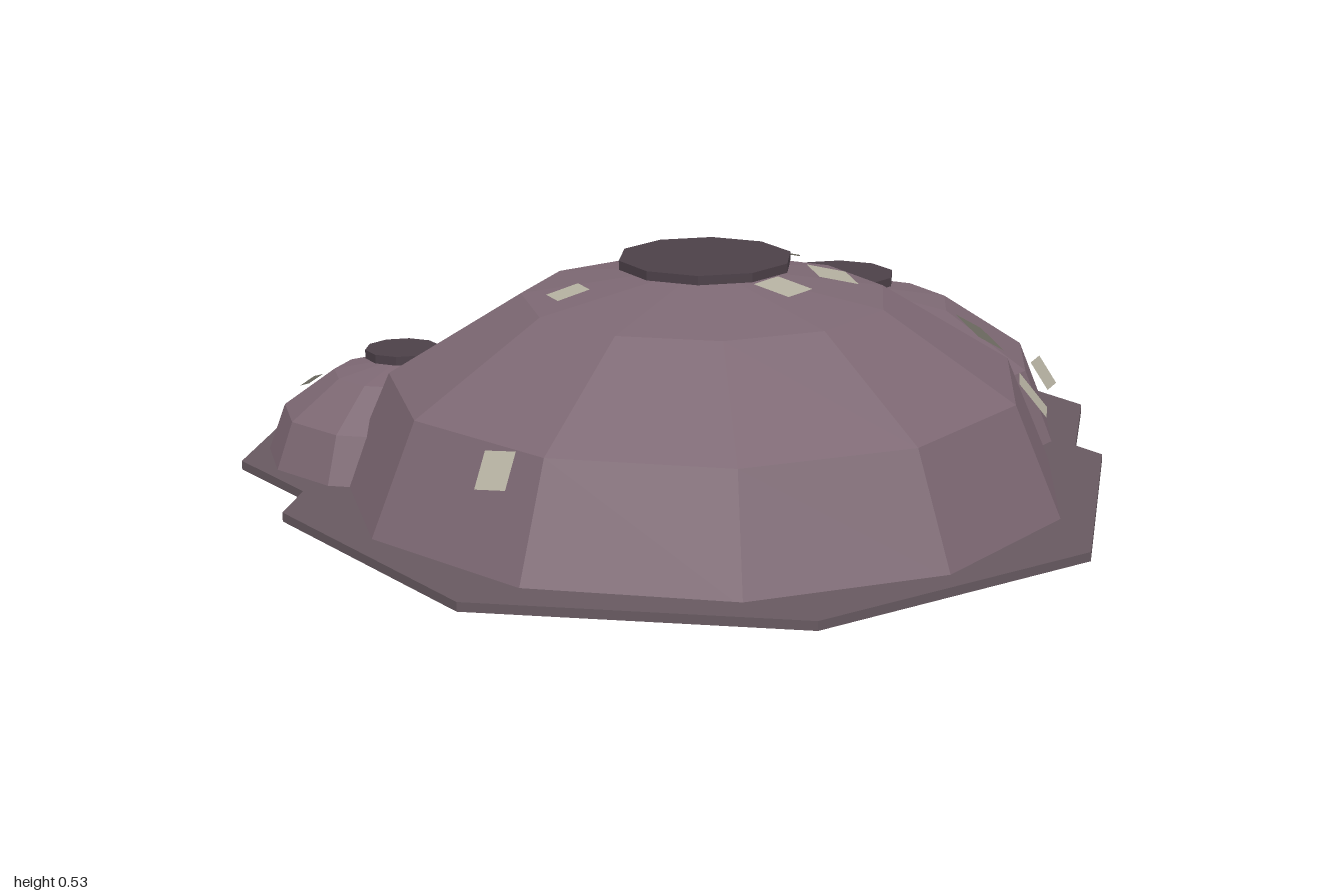
import * as THREE from 'three';

const material = (color) => new THREE.MeshStandardMaterial({ color, flatShading: true, side: THREE.DoubleSide });
const shellMat = material(0x7d6873);
const skirtMat = material(0x675960);
const capMat = material(0x4c4048);
const tileMat = material(0xb4b0a0);

const BASE_Y = 0.01;

// Each tile: x, z, width, height, spin
const mounds = [
  {
    name: 'mainMound', x: -0.025, z: 0.035, radius: 0.8, height: 0.5, skirt: 0.925, cap: 0.19, capY: 0.52,
    tiles: [
      [-0.335, 0.08, 0.07, 0.075, 0.1], [0.245, 0.09, 0.11, 0.09, 0.1], [0.1, 0.22, 0.09, 0.09, 0],
      [0.185, -0.3, 0.09, 0.075, 0.2], [0.22, -0.2, 0.06, 0.07, 0.5], [0.63, -0.05, 0.11, 0.09, 0.1],
      [0.635, 0.3, 0.09, 0.095, 0], [-0.57, 0.515, 0.075, 0.085, 0.15],
    ],
  },
  {
    name: 'middleMound', x: 0.39, z: -0.37, radius: 0.52, height: 0.345, skirt: 0.61, cap: 0.13, capY: 0.368,
    tiles: [[0.235, -0.61, 0.05, 0.055, 0.1], [0.285, -0.535, 0.065, 0.065, 0.1], [0.845, -0.215, 0.07, 0.075, 0]],
  },
  {
    name: 'smallMound', x: -0.63, z: -0.37, radius: 0.315, height: 0.23, skirt: 0.37, cap: 0.085, capY: 0.251,
    tiles: [[-0.82, -0.54, 0.04, 0.045, 0.2], [-0.61, -0.45, 0.065, 0.04, 0]],
  },
];

function polygon(path, radius, sides) {
  const points = [];
  for (let i = 0; i < sides; i++) {
    const a = (i / sides) * Math.PI * 2;
    points.push(new THREE.Vector2(radius * Math.cos(a), radius * Math.sin(a)));
  }
  return path.setFromPoints(points);
}

function add(parent, name, geometry, mat) {
  const mesh = new THREE.Mesh(geometry, mat);
  mesh.name = name;
  parent.add(mesh);
  return mesh;
}

function createMound(m) {
  const group = new THREE.Group();
  group.name = m.name;
  group.position.set(m.x, 0, m.z);

  // Flat eight-sided skirt, open in the middle
  const outline = polygon(new THREE.Shape(), m.skirt, 8);
  outline.holes.push(polygon(new THREE.Path(), m.skirt * 0.6, 8));
  const skirtGeo = new THREE.ExtrudeGeometry(outline, { depth: 0.02, bevelEnabled: false });
  add(group, 'groundSkirt', skirtGeo.rotateX(-Math.PI / 2), skirtMat);

  // Eleven-sided hollow dome
  const domeGeo = new THREE.SphereGeometry(1, 11, 3, Math.PI, Math.PI * 2, 0, Math.PI / 2);
  domeGeo.scale(m.radius, m.height, m.radius);
  add(group, 'dome', domeGeo, shellMat).position.y = BASE_Y;

  // Ten-sided lid on the summit
  const capGeo = new THREE.CylinderGeometry(m.cap, m.cap, 0.02, 10).rotateY(Math.PI / 2);
  add(group, 'topCap', capGeo, capMat).position.y = m.capY;

  // Loose patches lying tangent to the dome
  for (const [x, z, w, h, spin] of m.tiles) {
    const dx = x - m.x;
    const dz = z - m.z;
    const rise = m.height * Math.sqrt(1 - (dx * dx + dz * dz) / (m.radius * m.radius));
    const tile = add(group, 'patch', new THREE.PlaneGeometry(w, h), tileMat);
    tile.position.set(dx, rise + BASE_Y + 0.008, dz);
    const normal = new THREE.Vector3(dx / m.radius ** 2, rise / m.height ** 2, dz / m.radius ** 2);
    tile.lookAt(tile.position.clone().add(normal));
    tile.rotateZ(spin);
  }
  return group;
}

export function createModel() {
  const model = new THREE.Group();
  model.name = 'moundCluster';
  for (const m of mounds) model.add(createMound(m));
  return model;
}
